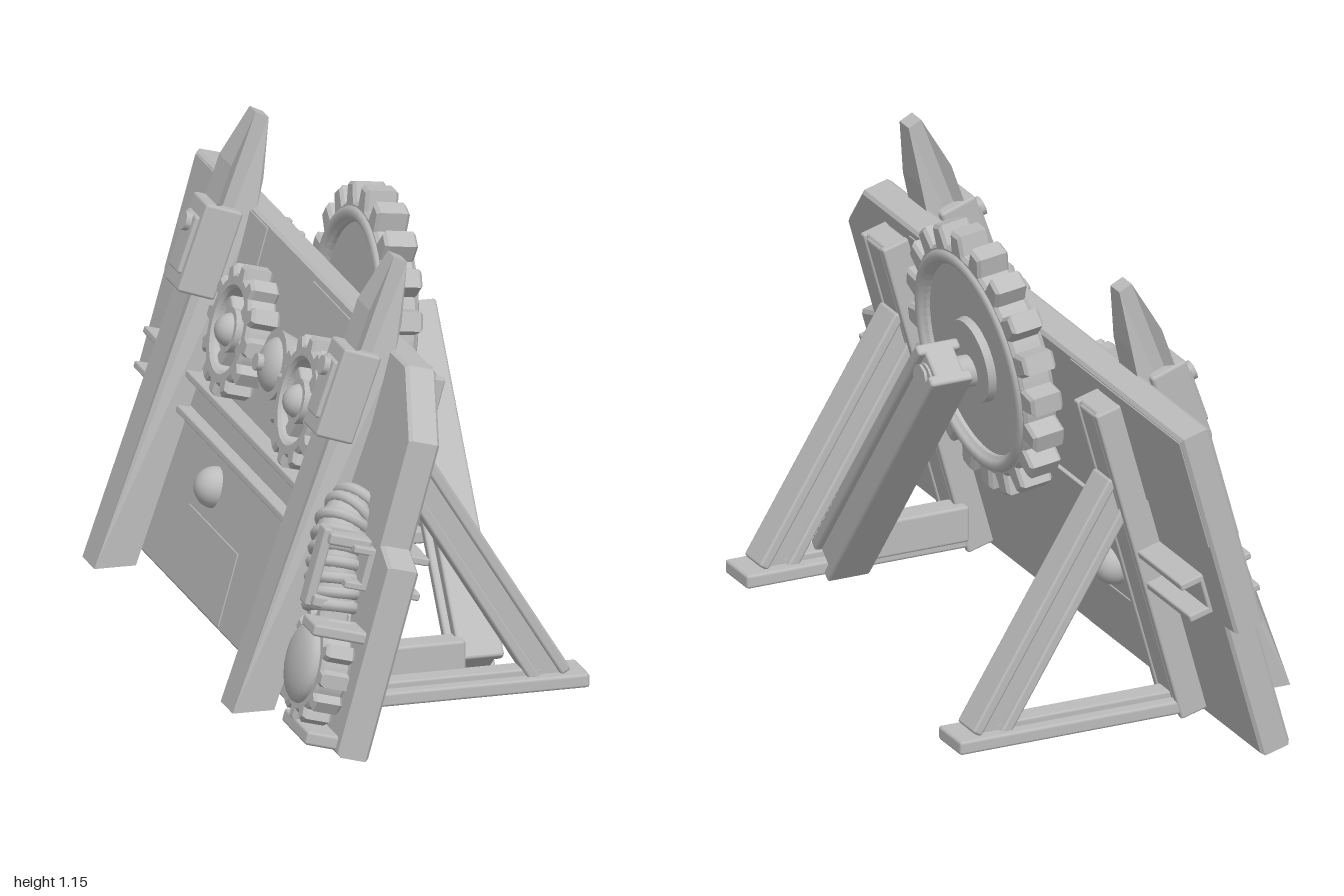
import * as THREE from 'three';
import { RoundedBoxGeometry } from 'three/addons/geometries/RoundedBoxGeometry.js';

export function createModel() {
  const root = new THREE.Group();
  root.name = 'gearBarricade';
  const metal = new THREE.MeshStandardMaterial({ color: 0xbcbcbc });
  metal.name = 'light grey metal';

  // ---- helpers ----
  const add = (parent, name, geo, x = 0, y = 0, z = 0) => {
    const m = new THREE.Mesh(geo, metal);
    m.name = name;
    m.position.set(x, y, z);
    parent.add(m);
    return m;
  };
  const group = (parent, name, x = 0, y = 0, z = 0, lean = 0) => {
    const g = new THREE.Group();
    g.name = name;
    g.position.set(x, y, z);
    g.rotation.z = -lean;
    parent.add(g);
    return g;
  };
  const box = (parent, name, w, h, d, x, y, z) =>
    add(parent, name, new RoundedBoxGeometry(w, h, d, 1, Math.min(0.008, w / 4, h / 4, d / 4)), x, y, z);
  // cylinder whose axis runs along x
  const disc = (parent, name, r1, r2, len, x, y, z, n = 32) =>
    add(parent, name, new THREE.CylinderGeometry(r1, r2, len, n).rotateZ(-Math.PI / 2), x, y, z);
  // outline in (z, y), centred thickness along x
  const slab = (shape, thick, bevel = 0.008) => {
    const geo = new THREE.ExtrudeGeometry(shape, {
      depth: thick - 2 * bevel, bevelThickness: bevel, bevelSize: bevel, bevelOffset: -bevel,
      bevelSegments: 1, curveSegments: 32,
    });
    return geo.translate(0, 0, bevel - thick / 2).rotateY(-Math.PI / 2);
  };
  const outline = (pts) => new THREE.Shape(pts.map(([a, b]) => new THREE.Vector2(a, b)));
  const gearRim = (teeth, root, tip, hole, thick) => {
    const pts = [];
    const step = (Math.PI * 2) / teeth;
    for (let i = 0; i < teeth; i++)
      for (const [f, r] of [[-0.5, root], [-0.34, root], [-0.22, tip], [0.22, tip], [0.34, root]])
        pts.push([Math.cos((i + f) * step) * r, Math.sin((i + f) * step) * r]);
    const s = outline(pts);
    s.holes.push(new THREE.Path().absarc(0, 0, hole, 0, Math.PI * 2, true));
    return slab(s, thick, 0.008);
  };
  // beam from a to b: recessed core with a raised rail on both edges, face along n
  const beam = (parent, name, a, b, n, width, thick, rail, recess) => {
    const g = group(parent, name);
    const A = new THREE.Vector3(...a), B = new THREE.Vector3(...b);
    const dir = B.clone().sub(A), len = dir.length();
    dir.normalize();
    const face = new THREE.Vector3(...n);
    const side = dir.clone().cross(face).normalize();
    g.quaternion.setFromRotationMatrix(new THREE.Matrix4().makeBasis(side, dir, face));
    g.position.copy(A).add(B).multiplyScalar(0.5);
    box(g, name + 'Core', width - rail, len, thick - 2 * recess, 0, 0, 0);
    for (const s of [-1, 1])
      box(g, name + 'Rail', rail, len, thick, s * (width - rail) / 2, 0, 0);
  };

  // ---- leaning armour panel ----
  const panel = group(root, 'leaningPanel', -0.26, 0.012, 0, 0.27);
  add(panel, 'panelSlab', slab(outline([[1, 0], [1, 0.49], [0.91, 0.52], [0.91, 0.79], [0.75, 0.935],
    [-1, 0.93], [-1, 0.37], [-0.945, 0.365], [-0.945, 0]]), 0.08));
  for (const s of [-1, 1]) {
    // thin sheets that leave seams between them
    const x = s * 0.039;
    box(panel, 'sheet', 0.008, 0.3, 0.6, x, 0.77, -0.69);
    box(panel, 'sheet', 0.008, 0.19, 0.41, x, 0.105, -0.21);
    box(panel, 'sheet', 0.008, 0.4, 0.5, x, 0.71, 0.25);
    // round knobs on both faces
    for (const z of [0.79, -0.28])
      add(panel, 'knob', new THREE.SphereGeometry(0.052, 20, 14), s * 0.04, 0.285, z);
  }
  // channel rail along the rear face and stubs on the brace side
  for (const t of [0.4, 0.49]) {
    box(panel, 'rearRail', 0.06, 0.018, 1.77, -0.065, t, 0);
    for (const z of [-0.74, 0.74]) box(panel, 'railStub', 0.075, 0.02, 0.29, 0.065, t, z);
  }
  box(panel, 'rearRailWeb', 0.02, 0.09, 1.77, -0.045, 0.445, 0);
  for (const z of [-0.74, 0.74]) box(panel, 'stubWeb', 0.02, 0.09, 0.29, 0.04, 0.445, z);
  box(panel, 'seamStrip', 0.016, 0.012, 1.1, 0.042, 0.49, 0);

  // ---- small spoked gears ----
  const smallGear = (name, t, z, r, x) => {
    const g = group(panel, name, x, t, z);
    add(g, 'rim', gearRim(12, r * 0.84, r, r * 0.62, 0.075));
    for (let i = 0; i < 2; i++) {
      const spoke = box(g, 'spoke', 0.04, r * 1.4, r * 0.24, 0, 0, 0);
      spoke.rotation.x = (i * Math.PI) / 2 + 0.5;
    }
    disc(g, 'hub', r * 0.28, r * 0.34, 0.07, 0, 0, 0, 20);
    add(g, 'hubCap', new THREE.SphereGeometry(r * 0.26, 16, 10), -0.025, 0, 0);
  };
  for (const z of [-0.28, 0.29]) smallGear('rearGear', 0.68, z, 0.166, -0.08);
  disc(panel, 'middleHub', 0.07, 0.09, 0.06, -0.065, 0.69, 0.02, 24);
  add(panel, 'middleDome', new THREE.SphereGeometry(0.07, 20, 12).scale(0.6, 1, 1), -0.085, 0.69, 0.02);
  disc(panel, 'middleBolt', 0.022, 0.022, 0.02, -0.13, 0.69, 0.02, 8);

  // ---- coil and drive gear at the front end ----
  const path = new THREE.CatmullRomCurve3([[-0.04, 0.55, 0.69], [-0.075, 0.51, 0.72], [-0.09, 0.43, 0.77],
    [-0.085, 0.32, 0.81]].map((p) => new THREE.Vector3(...p)));
  add(panel, 'coilCore', new THREE.TubeGeometry(path, 20, 0.062, 16));
  for (let i = 0; i <= 8; i++) {
    const ring = add(panel, 'coilRing', new THREE.TorusGeometry(0.06, 0.015, 8, 20));
    ring.position.copy(path.getPointAt(i / 8));
    ring.quaternion.setFromUnitVectors(new THREE.Vector3(0, 0, 1), path.getTangentAt(i / 8));
  }
  smallGear('driveGear', 0.18, 0.845, 0.145, -0.09);
  box(panel, 'driveBracket', 0.15, 0.03, 0.1, -0.1, 0.295, 0.92);
  box(panel, 'driveBracket', 0.1, 0.035, 0.2, -0.07, 0.025, 0.87);
  box(panel, 'coilBracket', 0.025, 0.2, 0.05, -0.155, 0.42, 0.82);
  for (const t of [0.34, 0.5]) box(panel, 'coilClamp', 0.11, 0.03, 0.05, -0.1, t, 0.84);
  add(panel, 'driveCover', new THREE.SphereGeometry(0.1, 20, 12).scale(0.35, 1, 1), -0.13, 0.18, 0.845);

  // ---- pointed rear stakes and braced frames, one pair at each end ----
  for (const s of [-1, 1]) {
    const stake = group(root, 'pointedStake', -0.4, 0.03, s * 0.578, 0.335);
    const geo = new THREE.ExtrudeGeometry(outline([[-0.05, -0.017], [0.05, 0.017], [0.05, 0.95],
      [0.04, 1.03], [0.012, 1.175], [-0.025, 1.18], [-0.05, 1.04]]), { depth: 0.1, bevelEnabled: false });
    geo.translate(0, 0, -0.05);
    const p = geo.attributes.position;
    for (let i = 0; i < p.count; i++) if (p.getY(i) > 1.1) p.setZ(i, p.getZ(i) * 0.5);
    geo.computeVertexNormals();
    add(stake, 'stakeBody', geo);
    box(stake, 'upperClamp', 0.1, 0.23, 0.115, -0.03, 0.82, 0);
    box(stake, 'upperPlate', 0.03, 0.15, 0.08, -0.075, 0.82, 0);
    disc(stake, 'clampBolt', 0.025, 0.025, 0.02, -0.095, 0.87, 0, 8);

    // upright channel on the panel
    const z = s * 0.585;
    beam(panel, 'upright', [0.07, 0.02, z], [0.07, 0.89, z], [1, 0, 0], 0.13, 0.08, 0.022, 0.008);
    box(panel, 'uprightFace', 0.05, 0.86, 0.085, 0.083, 0.455, z);
    // sloping strut and ground beam
    beam(root, 'strut', [0.365, 0.035, z], [-0.005, 0.635, z], [0, 0, 1], 0.1, 0.09, 0.028, 0.016);
    box(root, 'groundBeam', 0.67, 0.036, 0.125, 0.115, 0.033, z);
    box(root, 'groundRib', 0.52, 0.025, 0.06, 0.08, 0.055, z);
  }

  // ---- big gear, axle and support arm ----
  const big = group(root, 'bigGear', 0.078, 0.77, -0.03, 0.13);
  add(big, 'toothedRim', gearRim(20, 0.295, 0.344, 0.245, 0.085));
  const rimBead = new THREE.TorusGeometry(0.268, 0.018, 8, 48).rotateY(Math.PI / 2);
  for (const s of [-1, 1]) add(big, 'rimBead', rimBead, s * 0.036, 0, 0);
  disc(big, 'gearPlate', 0.25, 0.25, 0.05, 0, 0, 0, 48);
  disc(big, 'gearHub', 0.105, 0.12, 0.07, 0.01, 0, 0, 32);
  disc(root, 'axle', 0.04, 0.04, 0.27, 0.11, 0.74, -0.03, 20);
  disc(root, 'axleBolt', 0.035, 0.035, 0.012, 0.246, 0.74, -0.02, 8);
  beam(root, 'supportArm', [0.2, 0.055, 0.52], [0.2, 0.787, -0.055], [1, 0, 0], 0.12, 0.115, 0.03, 0.018);
  box(root, 'armFoot', 0.3, 0.095, 0.07, 0.01, 0.09, 0.53);

  return root;
}
